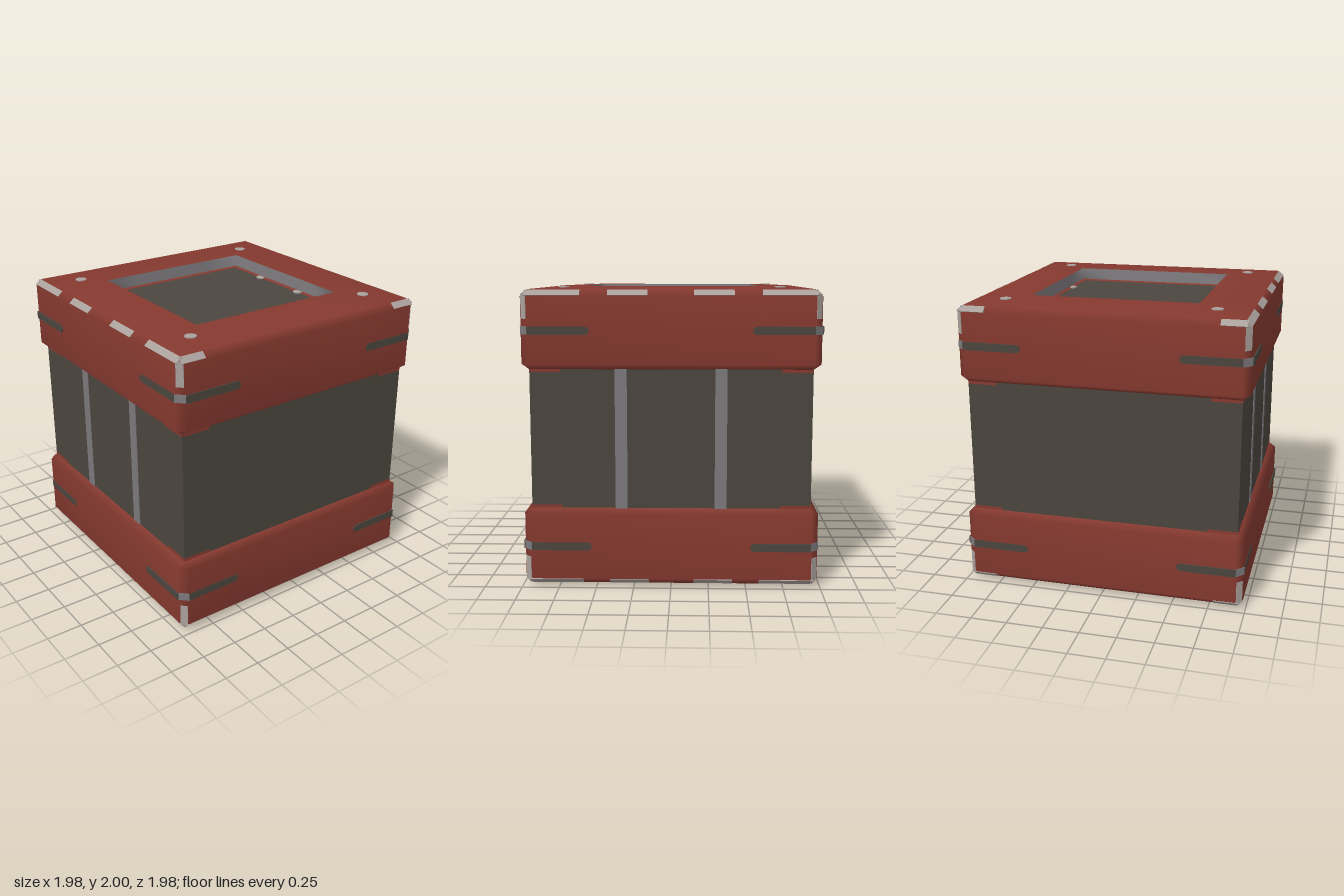
import * as THREE from 'three';
import { mergeVertices } from 'three/addons/utils/BufferGeometryUtils.js';

const mat = (name, color) => new THREE.MeshStandardMaterial({ name, color });
const red = mat('painted red', 0x85392f);
const dark = mat('dark panel', 0x4b463e);
const steel = mat('steel', 0x7c797c);
const worn = mat('bare metal', 0xaaa19d);

function add(parent, name, geometry, material, x = 0, y = 0, z = 0) {
  const mesh = new THREE.Mesh(geometry, material);
  mesh.name = name;
  mesh.position.set(x, y, z);
  parent.add(mesh);
  return mesh;
}

// Skin over square rings [half size, y, corner], listed from the inside top outwards and down
function loftRings(rings) {
  const pos = [], index = [], n = 16;
  for (const [h, y, k] of rings) {
    for (let s = 0; s < 4; s++) {
      const a = s * Math.PI / 2, c = Math.cos(a), d = Math.sin(a);
      for (const t of [-k, -k / 2, k / 2, k]) pos.push(h * c - t * d, y, h * d + t * c);
    }
  }
  for (let r = 0; r < rings.length - 1; r++) {
    for (let i = 0; i < n; i++) {
      const a = r * n + i, b = r * n + (i + 1) % n;
      index.push(a, b, a + n, b, b + n, a + n);
    }
  }
  const g = new THREE.BufferGeometry();
  g.setAttribute('position', new THREE.Float32BufferAttribute(pos, 3));
  g.setIndex(index);
  const merged = mergeVertices(g);
  merged.computeVertexNormals();
  return merged;
}

// Band plate with a rounded inner end, facing +z
function bandGeometry() {
  const s = new THREE.Shape();
  s.moveTo(0.932, -0.027);
  s.lineTo(0.932, 0.027);
  s.lineTo(0.557, 0.027);
  s.absarc(0.557, 0, 0.027, Math.PI / 2, Math.PI * 1.5, false);
  return new THREE.ExtrudeGeometry(s, { depth: 0.008, bevelEnabled: false, curveSegments: 6 });
}

function makeCap(name) {
  const cap = new THREE.Group();
  cap.name = name;

  // Chamfered frame, recess wall and inner lip
  add(cap, 'capShell', loftRings([
    [0.58, 2, 0.58], [0.62, 2, 0.62], [0.93, 1.985, 0.93], [0.98, 1.94, 0.93],
    [0.98, 1.5, 0.93], [0.93, 1.465, 0.93], [0.9, 1.46, 0.9],
  ]), red);
  add(cap, 'recessWall', loftRings([[0.57, 1.918, 0.57], [0.58, 2, 0.58]]), steel);
  add(cap, 'recessLip', loftRings([[0.548, 1.911, 0.548], [0.571, 1.919, 0.571]]), red);

  // Rivets on the frame
  const rivet = new THREE.CylinderGeometry(0.04, 0.04, 0.008, 12);
  for (const x of [-0.72, 0.72]) for (const z of [-0.72, 0.72]) add(cap, 'rivet', rivet, worn, x, 1.996, z);

  // Studs at the edge of the recess floor
  for (const sx of [-1, 1]) for (const z of [-0.22, 0.22]) {
    const stud = add(cap, 'floorStud', new THREE.CylinderGeometry(0.035, 0.035, 0.008, 10), worn, sx * 0.55, 1.914, z);
    stud.scale.x = 0.9;
  }

  const band = bandGeometry();
  for (let s = 0; s < 4; s++) {
    const side = new THREE.Group();
    side.name = 'capSide';
    side.rotation.y = s * Math.PI / 2;
    cap.add(side);

    // Dark bands running in from each corner
    add(side, 'bandRight', band, dark, 0, 1.72, 0.975);
    add(side, 'bandLeft', band, dark, 0, 1.72, -0.975 + 1.958).rotation.z = Math.PI;

    // Worn strips along the top chamfer; the left and right sides have more
    const spans = s % 2 ? [[0.15, 0.41], [0.59, 0.95]] : [[0.78, 0.95]];
    for (const [a, b] of spans) for (const m of [-1, 1]) {
      const strip = add(side, 'wornEdge', new THREE.BoxGeometry(b - a, 0.05, 0.009), worn, m * (a + b) / 2, 1.9625, 0.955);
      strip.rotation.x = -Math.atan2(0.05, 0.045);
    }

    // Worn corner edge and the steel clip joining two bands
    const edge = add(side, 'wornCorner', new THREE.BoxGeometry(0.05, 0.16, 0.009), worn, 0.955, 1.875, 0.955);
    edge.rotation.y = Math.PI / 4;
    const clip = add(side, 'bandClip', new THREE.BoxGeometry(0.074, 0.054, 0.009), steel, 0.955, 1.72, 0.955);
    clip.rotation.y = Math.PI / 4;

    // Slim red gussets under the cap at the corners
    for (const m of [-1, 1]) add(side, 'gusset', new THREE.BoxGeometry(0.2, 0.02, 0.008), red, m * 0.828, 1.455, 0.928);
  }
  return cap;
}

export function createModel() {
  const crate = new THREE.Group();
  crate.name = 'crate';

  // Dark core, also the floor of both recesses
  add(crate, 'core', new THREE.BoxGeometry(1.86, 1.82, 1.86), dark, 0, 1, 0);

  // Two steel straps on the left and right sides
  for (const x of [-0.93, 0.93]) for (const z of [-0.33, 0.33]) {
    add(crate, 'strap', new THREE.BoxGeometry(0.009, 0.96, 0.08), steel, x, 1, z);
  }

  // Matching caps
  crate.add(makeCap('topCap'));
  const bottom = makeCap('bottomCap');
  bottom.rotation.x = Math.PI;
  bottom.position.y = 2;
  crate.add(bottom);
  return crate;
}
